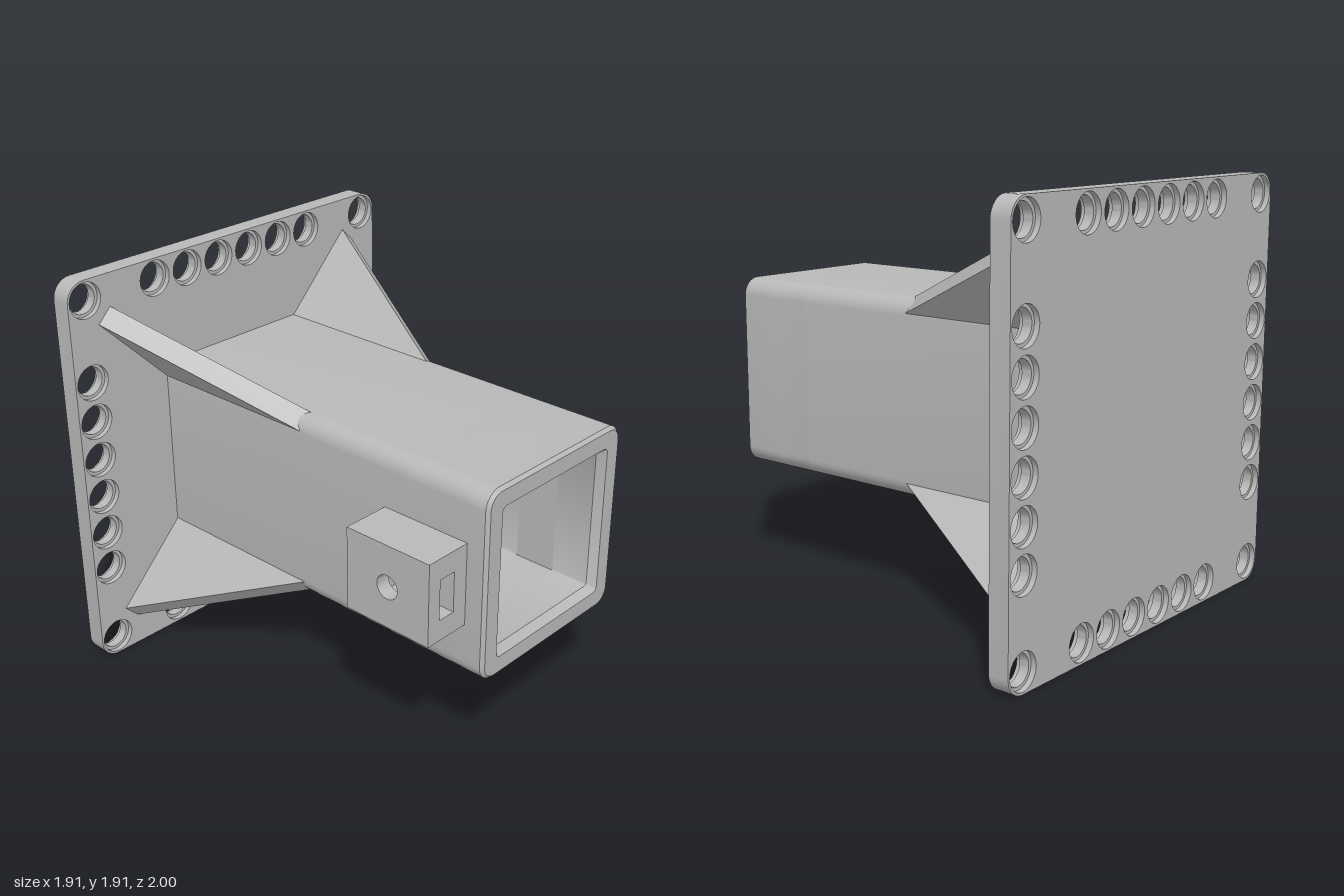
import * as THREE from 'three';
import { toCreasedNormals } from 'three/addons/utils/BufferGeometryUtils.js';

const CY = 0.953;                       // height of the tube axis
const OUT = 0.445, IN = 0.325, R = 0.08; // tube half widths and corner radius
const HOLE_Z = 0.68, HOLE_R = 0.055;    // cross hole through latch block and tube wall

// Rounded square outline, starting and ending on the left side with an optional gap
function roundedSquare(h, r, gap = 0, segs = 8) {
  const pts = [new THREE.Vector2(-h, -gap)];
  const corners = [[-1, -1, Math.PI], [1, -1, Math.PI * 1.5], [1, 1, 0], [-1, 1, Math.PI / 2]];
  for (const [sx, sy, start] of corners) {
    for (let i = 0; i <= segs; i++) {
      const a = start + (i / segs) * Math.PI / 2;
      pts.push(new THREE.Vector2(sx * (h - r) + r * Math.cos(a), sy * (h - r) + r * Math.sin(a)));
    }
  }
  if (gap) pts.push(new THREE.Vector2(-h, gap));
  return pts;
}

const polygon = (coords) => new THREE.Shape(coords.map(([x, y]) => new THREE.Vector2(x, y)));
const rect = (x0, y0, x1, y1) => polygon([[x0, y0], [x1, y0], [x1, y1], [x0, y1]]);
const circle = (x, y, r) => new THREE.Path().absarc(x, y, r, 0, Math.PI * 2, true);

function extrude(shape, depth) {
  const geo = new THREE.ExtrudeGeometry(shape, { depth, bevelEnabled: false, curveSegments: 24 });
  return toCreasedNormals(geo, 0.6);
}

// Extrudes a (z, y) profile along x, between x0 and x1
function extrudeX(shape, x0, x1) {
  return extrude(shape, x1 - x0).rotateY(-Math.PI / 2).translate(x1, 0, 0);
}

// Skin through a list of [halfWidth, cornerRadius, z] rounded square rings
function loftRings(rings) {
  const pos = [], index = [];
  const loops = rings.map(([h, r]) => roundedSquare(h, r));
  const n = loops[0].length;
  loops.forEach((loop, k) => loop.forEach((p) => pos.push(p.x, p.y, rings[k][2])));
  for (let k = 0; k < rings.length - 1; k++) {
    for (let i = 0; i < n; i++) {
      const j = (i + 1) % n, a = k * n + i, b = k * n + j;
      index.push(a, b, b + n, a, b + n, a + n);
    }
  }
  const geo = new THREE.BufferGeometry();
  geo.setAttribute('position', new THREE.Float32BufferAttribute(pos, 3));
  geo.setIndex(index);
  return toCreasedNormals(geo, 0.5);
}

export function createModel() {
  const model = new THREE.Group();
  model.name = 'mountingBracket';
  const grey = new THREE.MeshStandardMaterial({ color: 0xb8b8b8 });
  grey.name = 'grey';

  const add = (name, geo, x = 0, y = 0, z = 0, parent = model) => {
    const mesh = new THREE.Mesh(geo, grey);
    mesh.name = name;
    mesh.position.set(x, y, z);
    parent.add(mesh);
    return mesh;
  };

  // Bolt hole positions: four corners and six along each side
  const holes = [];
  for (const s of [-0.86, 0.86]) {
    holes.push([s, -0.86], [s, 0.86]);
    for (let i = 0; i < 6; i++) {
      const t = -0.475 + i * 0.19;
      holes.push([s, t], [t, s]);
    }
  }

  // Base plate
  const plate = new THREE.Shape(roundedSquare(0.953, 0.09));
  holes.forEach(([x, y]) => plate.holes.push(circle(x, y, 0.083)));
  add('basePlate', extrude(plate, 0.095), 0, CY, -1);

  // Narrow collar in the middle of each bolt hole
  const collar = new THREE.Shape().absarc(0, 0, 0.083, 0, Math.PI * 2, false);
  collar.holes.push(circle(0, 0, 0.068));
  const collarGeo = extrude(collar, 0.045);
  const collars = new THREE.Group();
  collars.name = 'boltHoleCollars';
  model.add(collars);
  holes.forEach(([x, y]) => add('boltHoleCollar', collarGeo, x, CY + y, -0.975, collars));

  // Square tube: rear length, middle with a gap in one wall, and bevelled front
  const tube = new THREE.Group();
  tube.name = 'squareTube';
  model.add(tube);
  const section = new THREE.Shape(roundedSquare(OUT, R));
  section.holes.push(new THREE.Path(roundedSquare(IN, 0.012).reverse()));
  add('tubeRear', extrude(section, 1.485), 0, CY, -0.905, tube);

  const inner = [[-IN, 0.1], [-IN, IN], [IN, IN], [IN, -IN], [-IN, -IN], [-IN, -0.1]];
  const gapped = new THREE.Shape([
    ...roundedSquare(OUT, R, -0.1).slice(1, -1),
    new THREE.Vector2(-OUT, 0.1),
    ...inner.map(([x, y]) => new THREE.Vector2(x, y)),
    new THREE.Vector2(-OUT, -0.1),
  ]);
  add('tubeMiddle', extrude(gapped, 0.2), 0, CY, 0.58, tube);

  add('tubeFront', loftRings([
    [OUT, R, 0.78], [OUT, R, 0.985], [0.43, 0.065, 1],
    [0.355, 0.025, 1], [IN, 0.012, 0.965], [IN, 0.012, 0.78],
  ]), 0, CY, 0, tube);

  const wall = rect(0.58, -0.1, 0.78, 0.1);
  wall.holes.push(circle(HOLE_Z, 0, HOLE_R));
  add('drilledWall', extrudeX(wall, -OUT, -IN), 0, CY, 0, tube);

  // Latch block: drilled cheeks on either side of a slotted core
  const block = new THREE.Group();
  block.name = 'latchBlock';
  model.add(block);
  const cheek = rect(0.46, -0.19, 0.9, 0.193);
  cheek.holes.push(circle(HOLE_Z, 0, HOLE_R));
  add('outerCheek', extrudeX(cheek, -0.673, -0.605), 0, CY, 0, block);
  add('innerCheek', extrudeX(cheek, -0.52, -OUT), 0, CY, 0, block);
  const core = polygon([
    [0.46, -0.19], [0.9, -0.19], [0.9, -0.093], [0.59, -0.093],
    [0.59, 0.095], [0.9, 0.095], [0.9, 0.193], [0.46, 0.193],
  ]);
  add('slottedCore', extrudeX(core, -0.605, -0.52), 0, CY, 0, block);

  // Four diagonal gussets from the tube corners to the plate
  const gussetGeo = extrudeX(
    polygon([[-0.905, 0.52], [-0.03, 0.52], [-0.03, 0.58], [-0.905, 1.083]]), -0.0475, 0.0475);
  for (let i = 0; i < 4; i++) {
    add('gusset', gussetGeo, 0, CY, 0).rotation.z = Math.PI / 4 + i * Math.PI / 2;
  }

  return model;
}
